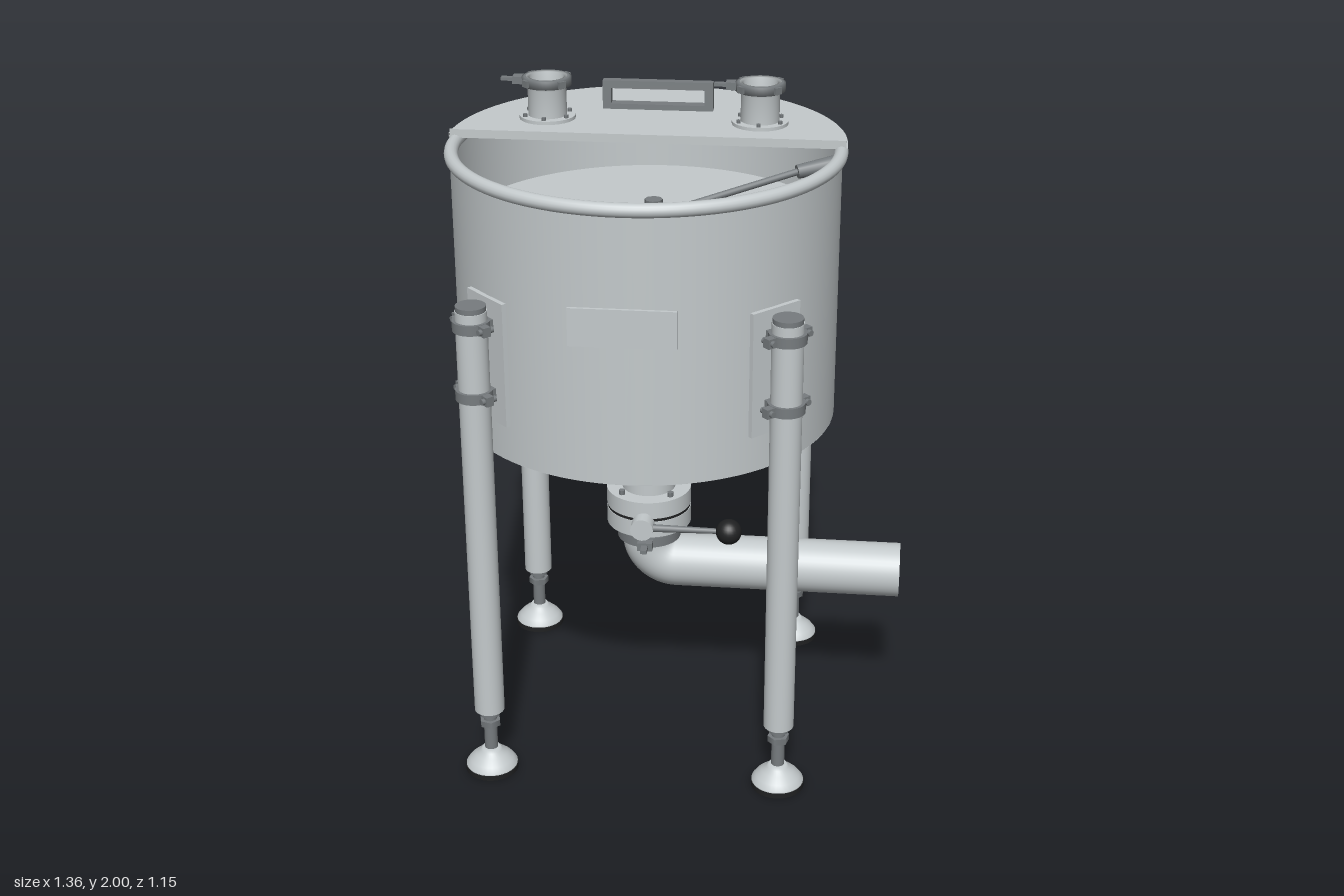
import * as THREE from 'three';

const mat = (name, color, side = THREE.FrontSide) => {
  const m = new THREE.MeshStandardMaterial({ color, side });
  m.name = name;
  return m;
};

export function createModel() {
  const steel = mat('brushed steel', 0xc4cacc, THREE.DoubleSide);
  const dark = mat('dark grey metal', 0x777c7f);
  const black = mat('black rubber', 0x202122);

  const root = new THREE.Group();
  root.name = 'mixingTank';
  const body = new THREE.Group(); // everything is laid out around the tank axis
  body.name = 'tankAssembly';
  body.position.x = -0.102;
  root.add(body);

  const add = (parent, name, geo, m, x = 0, y = 0, z = 0) => {
    const mesh = new THREE.Mesh(geo, m);
    mesh.name = name;
    mesh.position.set(x, y, z);
    parent.add(mesh);
    return mesh;
  };
  const group = (parent, name, x = 0, y = 0, z = 0) => {
    const g = new THREE.Group();
    g.name = name;
    g.position.set(x, y, z);
    parent.add(g);
    return g;
  };
  // upright cylinder between two heights
  const cyl = (parent, name, r, y0, y1, m, x = 0, z = 0, seg = 32) =>
    add(parent, name, new THREE.CylinderGeometry(r, r, y1 - y0, seg), m, x, (y0 + y1) / 2, z);
  const box = (parent, name, w, h, d, m, x, y, z) =>
    add(parent, name, new THREE.BoxGeometry(w, h, d), m, x, y, z);
  const lathe = (parent, name, pts, m, seg = 48) =>
    add(parent, name, new THREE.LatheGeometry(pts.map(p => new THREE.Vector2(...p)), seg), m);
  // cylinder between two points
  const rod = (parent, name, a, b, r0, r1, m) => {
    const p = new THREE.Vector3(...a), q = new THREE.Vector3(...b);
    const mesh = add(parent, name, new THREE.CylinderGeometry(r1, r0, p.distanceTo(q), 16), m);
    mesh.position.copy(p).add(q).multiplyScalar(0.5);
    mesh.quaternion.setFromUnitVectors(new THREE.Vector3(0, 1, 0), q.sub(p).normalize());
    return mesh;
  };
  const boltRing = (parent, n, radius, r, y0, y1) => {
    for (let i = 0; i < n; i++) {
      const a = (i + 0.5) / n * Math.PI * 2;
      cyl(parent, 'bolt', r, y0, y1, dark, Math.cos(a) * radius, Math.sin(a) * radius, 6);
    }
  };

  // Vessel
  add(body, 'tankWall', new THREE.CylinderGeometry(0.56, 0.56, 0.81, 96, 1, true), steel, 0, 1.455, 0);
  add(body, 'coneBottom', new THREE.CylinderGeometry(0.56, 0.082, 0.185, 96, 1, true), steel, 0, 0.957, 0);
  const rim = add(body, 'rolledRim', new THREE.TorusGeometry(0.556, 0.02, 16, 96), steel, 0, 1.85, 0);
  rim.rotation.x = Math.PI / 2;
  const fill = add(body, 'fillSurface', new THREE.CircleGeometry(0.558, 96), steel, 0, 1.62, 0);
  fill.rotation.x = -Math.PI / 2;
  box(body, 'namePlate', 0.298, 0.11, 0.009, steel, 0, 1.52, 0.564);

  // Half lid with raised front lip
  add(body, 'halfLid', new THREE.CylinderGeometry(0.574, 0.574, 0.01, 64, 1, false, Math.PI / 2, Math.PI), steel, 0, 1.869, 0);
  box(body, 'lidLip', 1.14, 0.025, 0.007, steel, 0, 1.874, -0.003);

  // Lid handle: a frame with an opening, tapering in depth towards the top
  const frame = new THREE.Shape([[-0.165, 0], [0.165, 0], [0.165, 0.085], [-0.165, 0.085]].map(p => new THREE.Vector2(...p)));
  frame.holes.push(new THREE.Path([[-0.14, 0.016], [-0.14, 0.062], [0.14, 0.062], [0.14, 0.016]].map(p => new THREE.Vector2(...p))));
  const handleGeo = new THREE.ExtrudeGeometry(frame, { depth: 0.038, bevelEnabled: false });
  handleGeo.translate(0, 0, -0.019);
  const hp = handleGeo.attributes.position;
  for (let i = 0; i < hp.count; i++) hp.setZ(i, hp.getZ(i) * (1 - hp.getY(i) * 3.2));
  handleGeo.computeVertexNormals();
  add(body, 'lidHandle', handleGeo, dark, 0, 1.878, -0.302);

  // Inlet ports with clamps
  for (const x of [-0.316, 0.312]) {
    const port = group(body, 'inletPort', x, 0, -0.19);
    cyl(port, 'portFlange', 0.083, 1.873, 1.884, steel);
    boltRing(port, 6, 0.07, 0.007, 1.884, 1.893);
    lathe(port, 'portTube', [[0.057, 1.88], [0.057, 1.965], [0.07, 1.978], [0.07, 1.998], [0.051, 1.998], [0.051, 1.88]], steel);
    lathe(port, 'portClamp', [[0.058, 1.974], [0.073, 1.974], [0.073, 1.998], [0.066, 2.0], [0.061, 2.0]], dark);
    box(port, 'clampLug', 0.034, 0.022, 0.036, dark, -0.083, 1.987, 0);
    box(port, 'clampTail', 0.05, 0.01, 0.018, dark, -0.11, 1.988, 0);
    for (let i = 0; i < 4; i++) {
      const a = Math.PI / 4 + i * Math.PI / 2;
      const lug = box(port, 'clampTooth', 0.012, 0.02, 0.024, dark, Math.cos(a) * 0.074, 1.987, Math.sin(a) * 0.074);
      lug.rotation.y = -a;
    }
  }

  // Level float on an arm fixed to the wall
  const float = group(body, 'levelFloat');
  add(float, 'floatBall', new THREE.SphereGeometry(0.102, 32, 20), steel, 0.037, 1.63, 0.145);
  cyl(float, 'floatCap', 0.026, 1.725, 1.745, dark, 0.037, 0.145, 8);
  rod(float, 'floatArmTip', [0.06, 1.7, 0.133], [0.14, 1.715, 0.092], 0.006, 0.006, dark);
  rod(float, 'floatArm', [0.13, 1.713, 0.097], [0.44, 1.775, -0.062], 0.01, 0.01, dark);
  rod(float, 'floatPivot', [0.43, 1.773, -0.057], [0.55, 1.79, -0.1], 0.02, 0.026, dark);

  // Outlet neck and valve
  const valve = group(body, 'outletValve');
  cyl(valve, 'outletNeck', 0.082, 0.76, 0.87, steel);
  cyl(valve, 'upperFlange', 0.13, 0.718, 0.772, steel, 0, 0, 48);
  cyl(valve, 'gasket', 0.128, 0.708, 0.718, black, 0, 0, 48);
  cyl(valve, 'lowerFlange', 0.13, 0.655, 0.708, steel, 0, 0, 48);
  boltRing(valve, 4, 0.105, 0.01, 0.64, 0.786);
  cyl(valve, 'lowerNeck', 0.085, 0.6, 0.66, steel);
  cyl(valve, 'pipeClamp', 0.098, 0.602, 0.634, dark);
  box(valve, 'clampLug', 0.046, 0.026, 0.04, dark, 0, 0.618, 0.106);
  box(valve, 'clampTail', 0.02, 0.012, 0.05, dark, 0, 0.618, 0.134);
  rod(valve, 'valveStem', [0, 0.713, 0.1], [0, 0.713, 0.16], 0.025, 0.025, steel);
  rod(valve, 'valveHub', [0, 0.713, 0.15], [0, 0.713, 0.195], 0.035, 0.035, steel);
  rod(valve, 'valveLever', [0.03, 0.713, 0.175], [0.24, 0.713, 0.175], 0.012, 0.008, dark);
  add(valve, 'leverKnob', new THREE.SphereGeometry(0.039, 24, 16), black, 0.262, 0.713, 0.175);

  // Outlet elbow and open pipe
  const path = new THREE.CurvePath();
  const V = (x, y) => new THREE.Vector3(x, y, 0);
  const k = 0.088, c = 0.5523 * k;
  path.add(new THREE.CubicBezierCurve3(V(0, 0.603), V(0, 0.603 - c), V(k - c, 0.515), V(k, 0.515)));
  path.add(new THREE.LineCurve3(V(k, 0.515), V(0.78, 0.515)));
  add(body, 'outletPipe', new THREE.TubeGeometry(path, 80, 0.083, 40), steel);

  // Four legs; each group's local +z points outwards from the tank
  for (const sx of [-1, 1]) for (const sz of [-1, 1]) {
    const leg = group(body, 'leg', sx * 0.4375, 0, sz * 0.4375);
    leg.rotation.y = Math.atan2(sx, sz);
    cyl(leg, 'legTube', 0.045, 0.21, 1.505, steel);
    cyl(leg, 'legCap', 0.043, 1.505, 1.52, dark);
    box(leg, 'mountPlate', 0.17, 0.37, 0.014, steel, 0, 1.35, -0.053);
    for (const y of [1.255, 1.463]) {
      cyl(leg, 'legClamp', 0.054, y - 0.015, y + 0.015, dark);
      box(leg, 'clampSaddle', 0.08, 0.03, 0.05, dark, 0, y, -0.03);
      for (const s of [-1, 1]) {
        box(leg, 'clampEar', 0.03, 0.028, 0.024, dark, s * 0.064, y, 0);
        rod(leg, 'clampBolt', [s * 0.066, y, -0.025], [s * 0.066, y, 0.022], 0.009, 0.009, dark);
      }
    }
    // levelling foot
    cyl(leg, 'legPlug', 0.03, 0.19, 0.212, dark, 0, 0, 24);
    cyl(leg, 'footStem', 0.02, 0.06, 0.2, dark, 0, 0, 20);
    cyl(leg, 'footNut', 0.033, 0.155, 0.175, dark, 0, 0, 6);
    lathe(leg, 'footDome', [[0.078, 0.014], [0.078, 0.02], [0.066, 0.036], [0.048, 0.052], [0.032, 0.064], [0.026, 0.074], [0, 0.074]], steel, 32);
    cyl(leg, 'footPad', 0.08, 0, 0.016, black);
  }
  return root;
}
